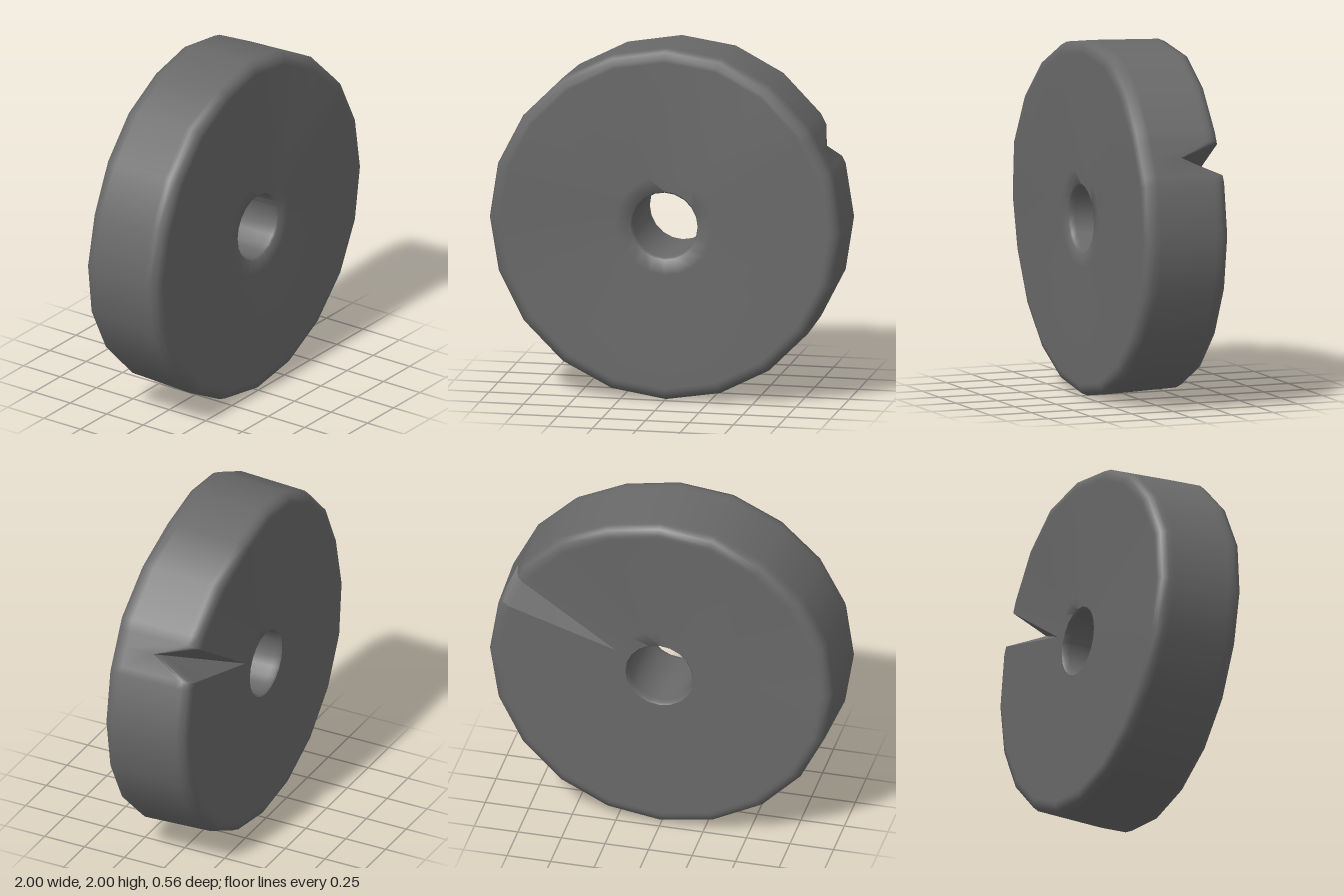
import * as THREE from 'three';
import { toCreasedNormals } from 'three/addons/utils/BufferGeometryUtils.js';

const SIDES = 20;
const STEP = 360 / SIDES;

// Cross-section [radius, z]: front bore lip, front face, rim, back face, back bore lip
const PROFILE = [
  [0.183, 0.21], [0.187, 0.238], [0.196, 0.25], [0.28, 0.253],
  [0.93, 0.255], [0.95, 0.255], [0.985, 0.24], [1, 0.205], [0.999, 0.17],
  [0.986, -0.17], [0.985, -0.2], [0.97, -0.235], [0.935, -0.25], [0.915, -0.25],
  [0.28, -0.25], [0.196, -0.25], [0.187, -0.238], [0.183, -0.21],
];
const RIM_BACK = 9;    // first profile point removed by the notch
const BACK_INNER = 14; // profile point where the notch runs out

// Sideways wobble of the rim at each corner, starting at +x
const WOBBLE = [0, 0, 0, -0.017, -0.033, -0.02, 0, 0.008, 0.02, 0.028,
  0.016, 0.006, 0.005, 0.005, 0.005, 0.005, 0.003, 0, 0, 0];

// The wedge-shaped notch in the back
const NOTCH = { from: 20.5, mid: 27, to: 32.2 };

function pointAt(deg, r, z) {
  const i = Math.floor(deg / STEP);
  const f = deg / STEP - i;
  const a = THREE.MathUtils.degToRad(deg);
  // Stay on the straight side between two corners
  const half = Math.PI / SIDES;
  const rr = r * Math.cos(half) / Math.cos((f - 0.5) * 2 * half);
  const shift = THREE.MathUtils.lerp(WOBBLE[i % SIDES], WOBBLE[(i + 1) % SIDES], f);
  const share = Math.max(0, (r - 0.2) / 0.8);
  return new THREE.Vector3(rr * Math.cos(a), 1 + rr * Math.sin(a), z + shift * share);
}

function buildColumns() {
  const angles = [NOTCH.from, NOTCH.mid, NOTCH.to];
  for (let i = 0; i < SIDES; i++) angles.push(i * STEP);
  angles.sort((a, b) => a - b);

  const apex = pointAt(NOTCH.mid, 0.285, -0.25);
  const tip = pointAt(NOTCH.mid, 0.992, 0);

  return angles.map((deg) => {
    const column = PROFILE.map(([r, z]) => pointAt(deg, r, z));
    if (deg >= NOTCH.from && deg <= NOTCH.to) column[BACK_INNER] = apex;
    if (deg === NOTCH.mid) {
      // Floor line of the notch, rising from the rim to the back face
      for (let j = RIM_BACK; j < BACK_INNER; j++) {
        const t = Math.max(0, (0.985 - PROFILE[j][0]) / 0.705);
        column[j] = tip.clone().lerp(apex, t);
      }
    }
    return column;
  });
}

function buildDisc() {
  const columns = buildColumns();
  const positions = [];
  const addTriangle = (a, b, c) => {
    const area = b.clone().sub(a).cross(c.clone().sub(a)).length();
    if (area < 1e-7) return;
    for (const p of [a, b, c]) positions.push(p.x, p.y, p.z);
  };
  columns.forEach((a, i) => {
    const b = columns[(i + 1) % columns.length];
    for (let j = 0; j < PROFILE.length; j++) {
      const k = (j + 1) % PROFILE.length;
      addTriangle(a[j], a[k], b[k]);
      addTriangle(a[j], b[k], b[j]);
    }
  });
  const geometry = new THREE.BufferGeometry();
  geometry.setAttribute('position', new THREE.Float32BufferAttribute(positions, 3));
  return toCreasedNormals(geometry, THREE.MathUtils.degToRad(52));
}

export function createModel() {
  const group = new THREE.Group();
  group.name = 'stoneWheel';
  const disc = new THREE.Mesh(buildDisc(), new THREE.MeshStandardMaterial({ color: 0x696969 }));
  disc.name = 'notchedDisc';
  group.add(disc);
  return group;
}
